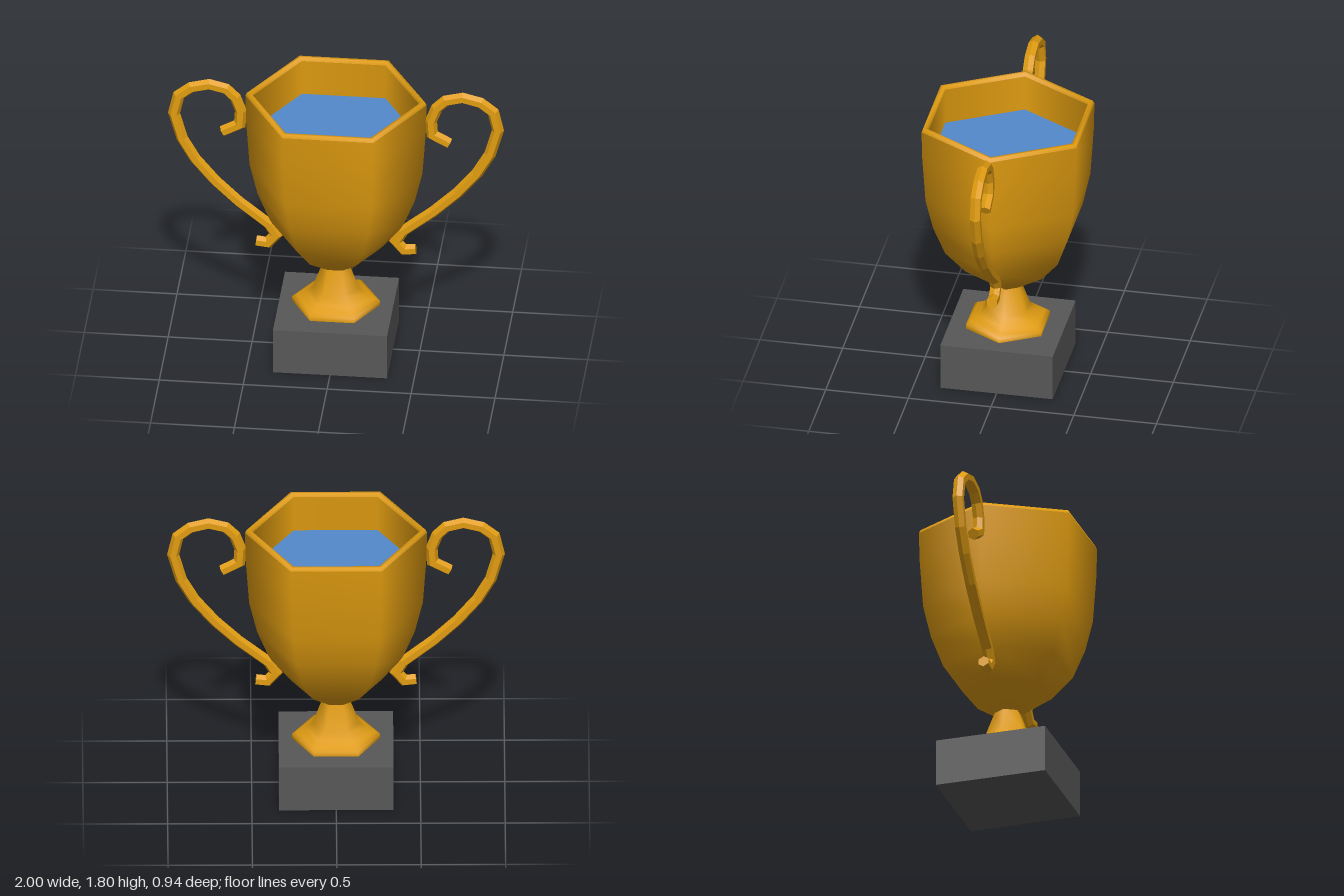
import * as THREE from 'three';

const gold = new THREE.MeshStandardMaterial({ color: 0xe09c10 });
gold.name = 'gold';
const slate = new THREE.MeshStandardMaterial({ color: 0x575757 });
slate.name = 'slate';
const water = new THREE.MeshStandardMaterial({ color: 0x5389cc });
water.name = 'water';

const SIDES = 6;

function part(name, geometry, material) {
  const mesh = new THREE.Mesh(geometry, material);
  mesh.name = name;
  return mesh;
}

// Six-sided turned form with a corner on the x axis
function turned(profile) {
  const points = profile.map(([r, y]) => new THREE.Vector2(r, y));
  return new THREE.LatheGeometry(points, SIDES, Math.PI / 2);
}

// Flat hexagon facing up or down
function hexagon(radius, y, up) {
  return new THREE.CircleGeometry(radius, SIDES)
    .rotateX(up ? -Math.PI / 2 : Math.PI / 2)
    .translate(0, y, 0);
}

// Faceted hexagonal bar swept along a path in the xy plane, mitred at each bend
function sweptBar(path, radius) {
  const pts = path.map(([x, y]) => new THREE.Vector2(x, y));
  const last = pts.length - 1;
  const positions = [];
  const index = [];
  pts.forEach((p, i) => {
    const before = p.clone().sub(pts[Math.max(i - 1, 0)]).normalize();
    const after = pts[Math.min(i + 1, last)].clone().sub(p).normalize();
    const t = before.clone().add(after).normalize();
    const cosHalf = t.dot(i === 0 ? after : before);
    for (let j = 0; j < SIDES; j++) {
      const a = (j / SIDES) * Math.PI * 2;
      const n = (Math.cos(a) * radius) / cosHalf;
      positions.push(p.x - t.y * n, p.y + t.x * n, Math.sin(a) * radius);
    }
  });
  for (let i = 0; i < last; i++) {
    for (let j = 0; j < SIDES; j++) {
      const a = i * SIDES + j;
      const b = i * SIDES + ((j + 1) % SIDES);
      index.push(a, b, a + SIDES, b, b + SIDES, a + SIDES);
    }
  }
  const end = last * SIDES;
  for (let j = 1; j < SIDES - 1; j++) {
    index.push(0, j + 1, j, end, end + j, end + j + 1);
  }
  const indexed = new THREE.BufferGeometry();
  indexed.setAttribute('position', new THREE.Float32BufferAttribute(positions, 3));
  indexed.setIndex(index);
  const geometry = indexed.toNonIndexed();
  geometry.computeVertexNormals();
  return geometry;
}

export function createModel() {
  const model = new THREE.Group();
  model.name = 'trophy';

  // Square plinth
  const plinth = new THREE.BoxGeometry(0.68, 0.29, 0.68).translate(0, 0.145, 0);
  model.add(part('plinth', plinth, slate));

  // Flared foot and stem
  model.add(part('foot', turned([
    [0.262, 0.3], [0.262, 0.328], [0.235, 0.345], [0.185, 0.37],
    [0.138, 0.41], [0.08, 0.568],
  ]), gold));
  model.add(part('footUnderside', hexagon(0.262, 0.3, false), gold));

  // Bowl outside
  model.add(part('bowl', turned([
    [0.08, 0.563], [0.265, 0.69], [0.393, 0.84], [0.468, 1.025],
    [0.515, 1.22], [0.536, 1.52], [0.54, 1.695],
  ]), gold));

  // Rounded rim
  model.add(part('rim', turned([
    [0.54, 1.695], [0.53, 1.715], [0.508, 1.715], [0.498, 1.695],
  ]), gold));

  // Bowl inside, down to the liquid
  model.add(part('bowlLining', turned([[0.498, 1.695], [0.497, 1.45]]), gold));
  model.add(part('liquid', hexagon(0.497, 1.47, true), water));

  // Scrolled handles, the second turned half way round
  const handlePath = [
    [0.675, 1.443], [0.573, 1.498], [0.567, 1.59], [0.6, 1.68], [0.655, 1.735],
    [0.755, 1.76], [0.862, 1.733], [0.937, 1.673], [0.965, 1.55], [0.917, 1.38],
    [0.84, 1.245], [0.72, 1.1], [0.58, 0.965], [0.4, 0.82], [0.358, 0.748],
    [0.405, 0.692], [0.475, 0.7],
  ];
  const handle = sweptBar(handlePath, 0.035);
  model.add(part('leftHandle', handle, gold));
  const rightHandle = part('rightHandle', handle, gold);
  rightHandle.rotation.y = Math.PI;
  model.add(rightHandle);

  return model;
}
